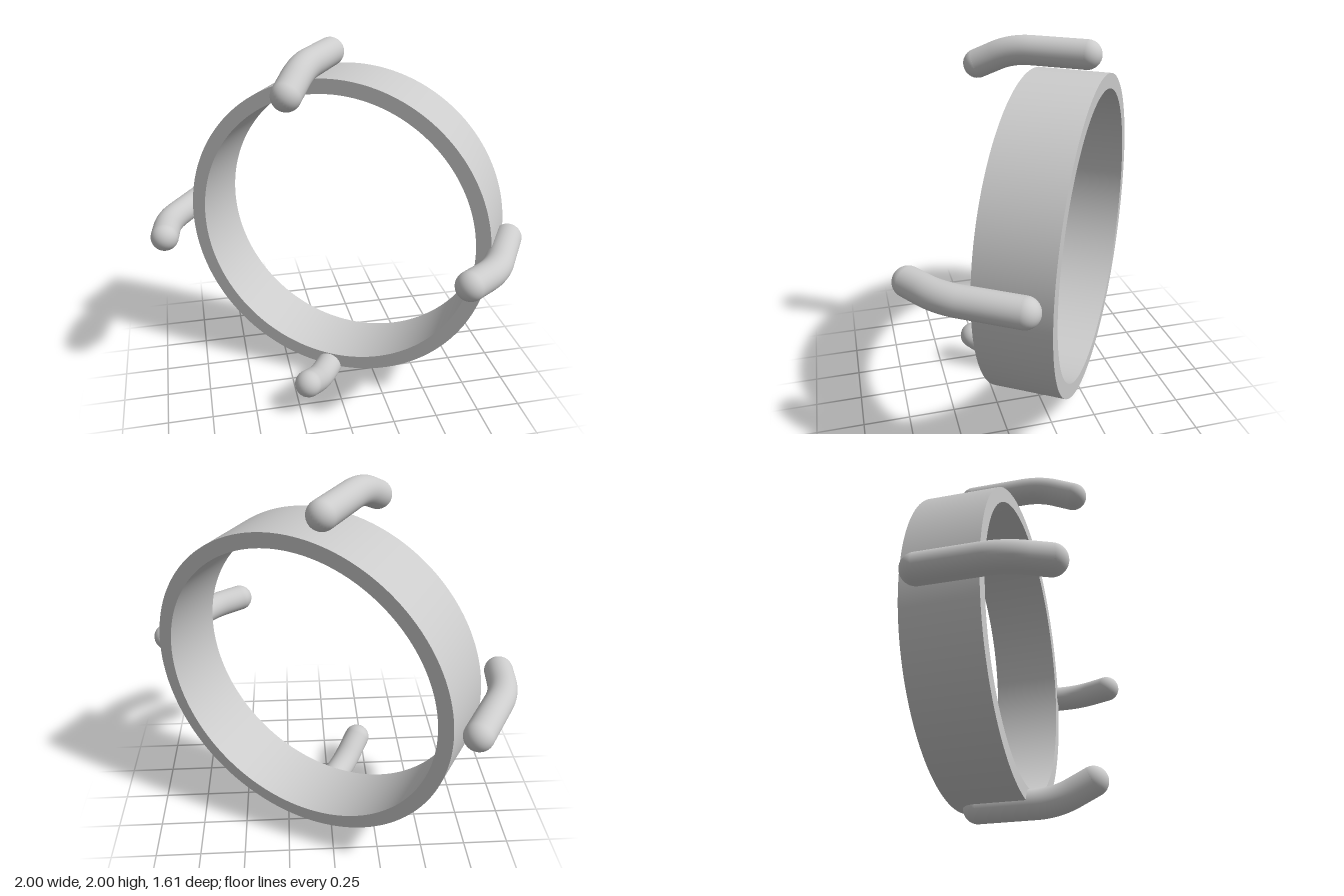
import * as THREE from 'three';
import { toCreasedNormals } from 'three/addons/utils/BufferGeometryUtils.js';

const material = new THREE.MeshStandardMaterial({ color: 0xcccccc });
const ROD = 0.077;

function part(name, geometry, parent) {
  const mesh = new THREE.Mesh(geometry, material);
  mesh.name = name;
  parent.add(mesh);
  return mesh;
}

// Flat band with square edges, its axis along z
function buildBand(parent) {
  const shape = new THREE.Shape().absarc(0, 0, 0.88, 0, Math.PI * 2, false);
  shape.holes.push(new THREE.Path().absarc(0, 0, 0.8, 0, Math.PI * 2, true));
  const geometry = new THREE.ExtrudeGeometry(shape, { depth: 0.39, bevelEnabled: false, curveSegments: 96 });
  part('ringBand', toCreasedNormals(geometry, 0.6), parent).position.z = -0.382;
}

// Round-ended rod along z whose front end bends towards local -x
function buildProng(name) {
  const prong = new THREE.Group();
  prong.name = name;
  const path = new THREE.CurvePath();
  const back = new THREE.Vector3(0, 0, -0.262);
  const bend = new THREE.Vector3(0, 0, 0.04);
  const curveEnd = new THREE.Vector3(-0.043, 0, 0.235);
  const front = new THREE.Vector3(-0.092, 0, 0.338);
  path.add(new THREE.LineCurve3(back, bend));
  path.add(new THREE.QuadraticBezierCurve3(bend, new THREE.Vector3(0, 0, 0.145), curveEnd));
  path.add(new THREE.LineCurve3(curveEnd, front));
  part('prongRod', new THREE.TubeGeometry(path, 48, ROD, 32), prong);
  for (const end of [back, front]) {
    part('prongEnd', new THREE.SphereGeometry(ROD, 32, 20), prong).position.copy(end);
  }
  return prong;
}

export function createModel() {
  const model = new THREE.Group();
  model.name = 'prongedRing';

  // The whole ring is turned and leans back very slightly
  const ring = new THREE.Group();
  ring.name = 'ring';
  ring.position.y = 0.965;
  ring.rotation.set(-0.023, -0.555, 0, 'YXZ');
  model.add(ring);

  buildBand(ring);

  // Four prongs around the band, each bending inward at the front
  const prongs = [
    ['leftProng', 0.925, 0.024, 0],
    ['topProng', -0.12, 0.957, Math.PI / 2],
    ['rightProng', -0.966, -0.013, Math.PI],
    ['bottomProng', -0.016, -0.882, -Math.PI / 2],
  ];
  for (const [name, x, y, angle] of prongs) {
    const prong = buildProng(name);
    prong.position.set(x, y, 0);
    prong.rotation.z = angle;
    ring.add(prong);
  }
  return model;
}
